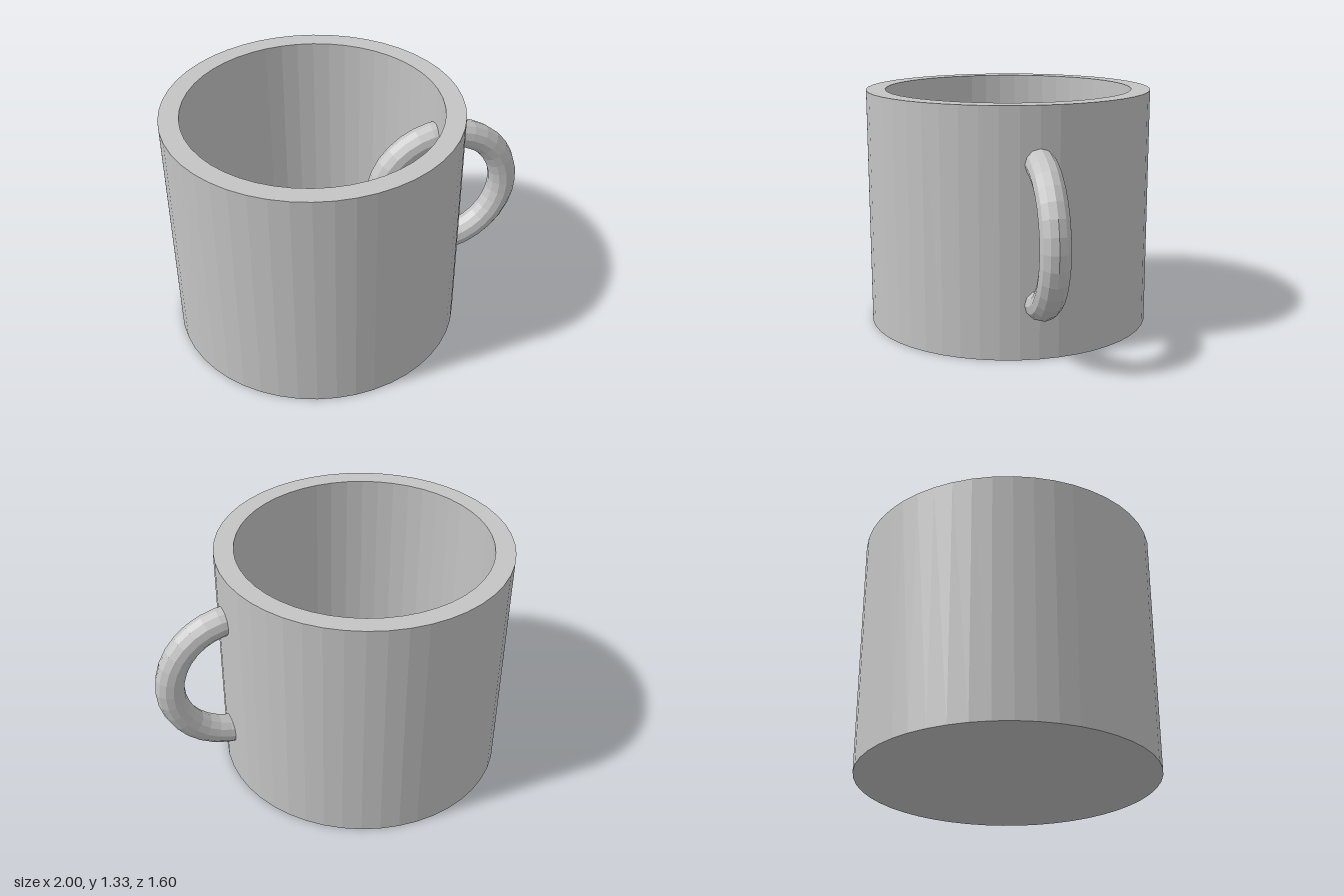
import * as THREE from 'three';

export function createModel() {
  const model = new THREE.Group();
  model.name = 'mug';

  const grey = new THREE.MeshStandardMaterial({ color: 0xc4c4c4 });
  grey.name = 'light grey';
  grey.flatShading = true;

  // Hollow cup: underside, outer wall, rim, inner wall, floor
  const radius = 0.8, height = 1.333, wall = 0.107;
  const profile = [
    [0, 0],
    [radius, 0],
    [radius, height],
    [radius - wall, height],
    [radius - wall, wall],
    [0, wall],
  ].map(([x, y]) => new THREE.Vector2(x, y));
  const cup = new THREE.Mesh(new THREE.LatheGeometry(profile, 48), grey);
  cup.name = 'cup';
  cup.position.x = -0.2;
  model.add(cup);

  // Full ring handle, passing through the wall into the cup
  const handle = new THREE.Mesh(new THREE.TorusGeometry(0.373, 0.08, 12, 32), grey);
  handle.name = 'handle';
  handle.position.set(0.547, height / 2, 0);
  model.add(handle);

  return model;
}
